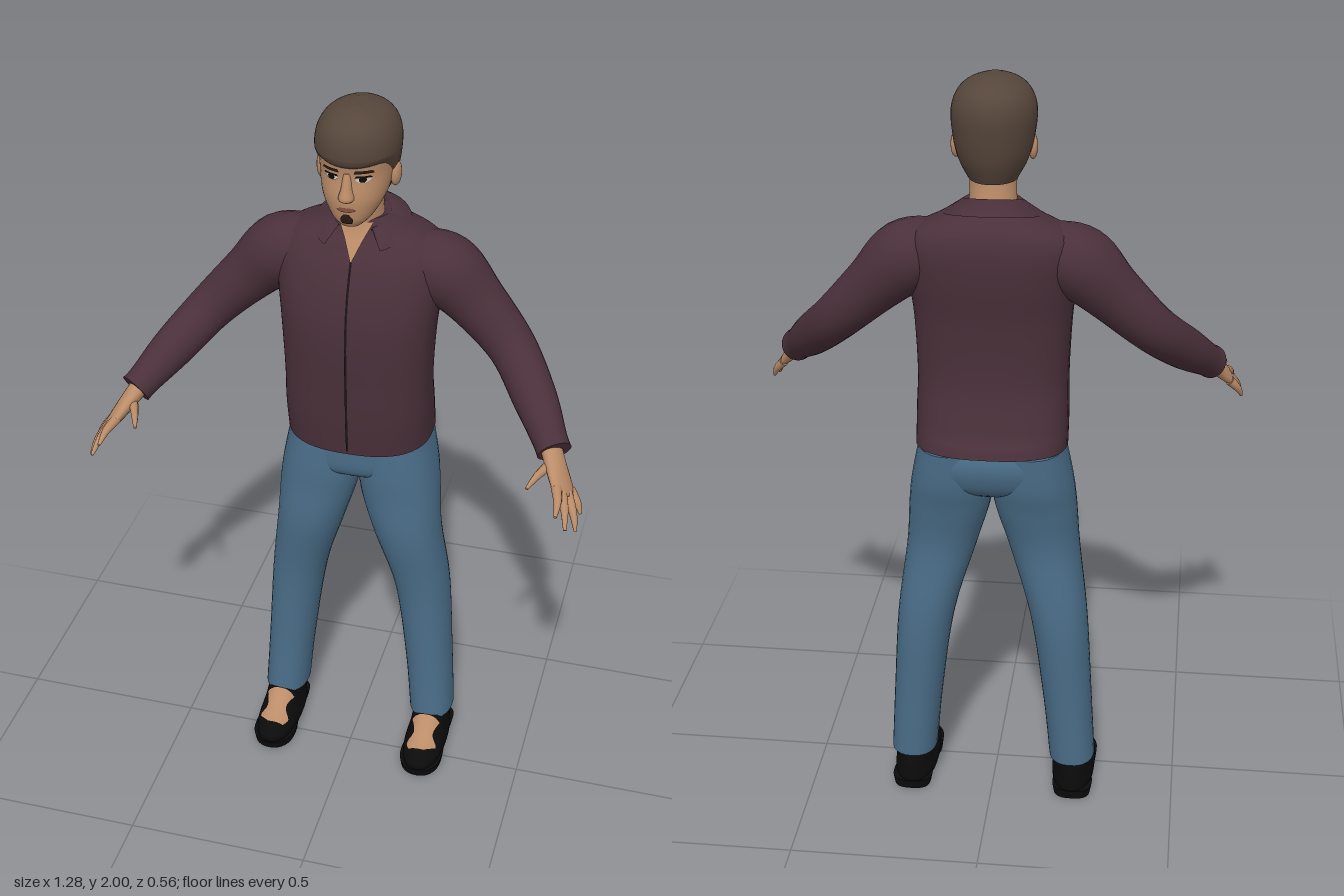
import * as THREE from 'three';

const V = (x, y, z) => new THREE.Vector3(x, y, z);
const paint = (name, color) => Object.assign(new THREE.MeshStandardMaterial({ color }), { name });

// Catmull-Rom interpolation of a table of numbers, column by column
function smooth(table, steps) {
  const out = [], last = table.length - 1;
  for (let i = 0; i < last; i++) {
    const [a, b, c, d] = [i - 1, i, i + 1, i + 2].map((k) => table[Math.min(last, Math.max(0, k))]);
    for (let s = 0; s < steps; s++) {
      const t = s / steps;
      out.push(b.map((_, k) => b[k] + 0.5 * t * (c[k] - a[k] + t * (2 * a[k] - 5 * b[k] + 4 * c[k] - d[k]
        + t * (3 * (b[k] - c[k]) + d[k] - a[k])))));
    }
  }
  out.push(table[last]);
  return out;
}

// Surface through rows of points; closed surfaces join around and get end caps
function skinRows(rows, closed) {
  if (closed) {
    const cap = (r) => {
      const c = r.reduce((s, p) => s.add(p), V(0, 0, 0)).divideScalar(r.length);
      return r.map(() => c);
    };
    const first = rows[0], end = rows[rows.length - 1];
    rows = [cap(first), first, ...rows, end, cap(end)];
  }
  const n = rows[0].length, index = [];
  for (let i = 0; i < rows.length - 1; i++) {
    for (let j = 0; j < (closed ? n : n - 1); j++) {
      const k = (j + 1) % n, a = i * n + j, b = i * n + k;
      index.push(a, b, b + n, a, b + n, a + n);
    }
  }
  const g = new THREE.BufferGeometry().setFromPoints(rows.flat());
  g.setIndex(index);
  g.computeVertexNormals();
  return g;
}

// Stacked level rings: [y, centre x, half width, front z, back z, squareness]
function loft(table, warp = (p) => p, seg = 32, steps = 5) {
  return skinRows(smooth(table, steps).map(([y, cx, rx, zf, zb, p]) =>
    Array.from({ length: seg }, (_, j) => {
      const a = (j / seg) * Math.PI * 2, s = Math.sin(a), c = Math.cos(a);
      const f = (v) => Math.sign(v) * Math.pow(Math.abs(v), 2 / p);
      return warp(V(cx + rx * f(s), y, (zf + zb) / 2 + ((zf - zb) / 2) * f(c)));
    })), true);
}

// Oval tube along a path: [x, y, z, radius along ref, radius across]
function sweep(table, ref, seg = 20, steps = 5) {
  const rows = smooth(table, steps), pts = rows.map((r) => V(r[0], r[1], r[2]));
  return skinRows(rows.map((r, i) => {
    const t = pts[Math.min(i + 1, pts.length - 1)].clone().sub(pts[Math.max(i - 1, 0)]).normalize();
    const v = t.clone().cross(ref).normalize(), u = v.clone().cross(t);
    return Array.from({ length: seg }, (_, j) => {
      const a = (j / seg) * Math.PI * 2;
      return pts[i].clone().addScaledVector(u, r[3] * Math.cos(a)).addScaledVector(v, r[4] * Math.sin(a));
    });
  }), true);
}

// Thin patch laid on a surface; rows are [height (or z if from above), x start, x end]
function decal(target, table, lift = 0.003, above = false) {
  const mesh = new THREE.Mesh(target, new THREE.MeshBasicMaterial({ side: THREE.DoubleSide }));
  const ray = new THREE.Raycaster();
  let depth = 0;
  return skinRows(smooth(table, 4).map(([v, x0, x1]) => Array.from({ length: 9 }, (_, j) => {
    const x = x0 + ((x1 - x0) * j) / 8;
    ray.set(above ? V(x, 3, v) : V(x, v, 3), above ? V(0, -1, 0) : V(0, 0, -1));
    const hit = ray.intersectObject(mesh)[0];
    if (hit) depth = above ? hit.point.y : hit.point.z;
    return above ? V(x, depth + lift, v) : V(x, v, depth + lift);
  })), false);
}

export function createModel() {
  const model = new THREE.Group();
  model.name = 'standingMan';
  const shirt = paint('shirt', 0x4a303a), seam = paint('seam', 0x1d1317), jeans = paint('jeans', 0x4a6d88);
  const skin = paint('skin', 0xbb8c68), hair = paint('hair', 0x56463b), black = paint('shoeBlack', 0x0b0b0b);
  const lip = paint('lips', 0x8a5546), white = paint('eyeWhite', 0xd0c8c0), dark = paint('faceHair', 0x2a1e18);
  shirt.side = THREE.DoubleSide;

  const add = (name, geometry, material) => {
    const m = new THREE.Mesh(geometry, material);
    m.name = name;
    model.add(m);
    return geometry;
  };
  const pair = (name, g, material) => {
    add(name + 'Left', g, material);
    const m = g.clone().scale(-1, 1, 1), ix = m.index.array;
    for (let i = 0; i < ix.length; i += 3) [ix[i], ix[i + 1]] = [ix[i + 1], ix[i]];
    add(name + 'Right', m, material);
  };

  // Shirt body, with the hem a little higher behind
  const torso = add('shirtBody', loft([
    [1.05, 0, 0.195, 0.03, -0.278, 2.5], [1.15, 0, 0.195, 0.04, -0.245, 2.6],
    [1.25, 0, 0.193, 0.045, -0.225, 2.6], [1.4, 0, 0.2, 0.05, -0.23, 2.6],
    [1.5, 0, 0.212, 0.037, -0.245, 2.5], [1.58, 0, 0.22, 0.008, -0.25, 2.4],
    [1.63, 0, 0.195, -0.02, -0.242, 2.3], [1.665, 0, 0.13, -0.04, -0.22, 2.2],
    [1.7, 0, 0.072, -0.05, -0.18, 2],
  ], (p) => { if (p.y < 1.1) p.y -= p.z * 0.07; return p; }, 48), shirt);
  add('placketSeam', decal(torso, [[1.06, -0.003, 0.003], [1.25, -0.003, 0.003], [1.42, -0.003, 0.003],
    [1.61, -0.003, 0.003]]), seam);
  add('openNeck', decal(torso, [[1.605, -0.002, 0.002], [1.65, -0.022, 0.022], [1.695, -0.045, 0.045]], 0.005), skin);

  // Folded collar, open at the front
  const collarRow = (fn) => Array.from({ length: 33 }, (_, i) => fn(0.6 + (i / 32) * (Math.PI * 2 - 1.2)));
  add('collar', skinRows([
    collarRow((a) => V(0.125 * Math.sin(a), 1.662 - 0.03 * Math.cos(a), -0.115 + 0.122 * Math.cos(a))),
    collarRow((a) => V(0.074 * Math.sin(a), 1.7 - 0.022 * Math.cos(a), -0.11 + 0.078 * Math.cos(a))),
    collarRow((a) => V(0.066 * Math.sin(a), 1.67 - 0.022 * Math.cos(a), -0.11 + 0.068 * Math.cos(a))),
  ], false), shirt);

  // Sleeves
  pair('sleeve', sweep([
    [0.13, 1.575, -0.12, 0.085, 0.075], [0.215, 1.548, -0.125, 0.095, 0.093], [0.3, 1.47, -0.12, 0.075, 0.075],
    [0.4, 1.37, -0.09, 0.062, 0.062], [0.48, 1.285, 0, 0.056, 0.056], [0.535, 1.225, 0.08, 0.046, 0.044],
    [0.552, 1.207, 0.105, 0.046, 0.044],
  ], V(0, 0, 1), 24, 6), shirt);

  // Hands with spread fingers
  const across = V(-0.31, 0.28, 0.91);
  pair('palm', sweep([
    [0.535, 1.222, 0.085, 0.03, 0.026], [0.56, 1.19, 0.13, 0.037, 0.022],
    [0.588, 1.152, 0.175, 0.043, 0.016], [0.6, 1.137, 0.193, 0.03, 0.009],
  ], across), skin);
  const fingers = {
    indexFinger: [[0.575, 1.165, 0.195], [0.587, 1.155, 0.24], [0.59, 1.14, 0.285]],
    middleFinger: [[0.587, 1.153, 0.185], [0.605, 1.13, 0.235], [0.615, 1.1, 0.278]],
    ringFinger: [[0.6, 1.14, 0.172], [0.624, 1.105, 0.21], [0.636, 1.07, 0.235]],
    littleFinger: [[0.604, 1.135, 0.152], [0.627, 1.108, 0.167], [0.638, 1.083, 0.178]],
    thumb: [[0.552, 1.19, 0.13], [0.527, 1.186, 0.185], [0.508, 1.175, 0.235]],
  };
  for (const [name, path] of Object.entries(fingers)) {
    pair(name, sweep(path.map((p, i) => [...p, [0.014, 0.011, 0.004][i], [0.013, 0.01, 0.004][i]]), across, 10, 3), skin);
  }

  // Jeans
  add('jeansSeat', loft([
    [0.925, 0, 0.1, -0.05, -0.19, 2.2], [0.96, 0, 0.19, -0.005, -0.235, 2.4],
    [1.03, 0, 0.195, 0.003, -0.255, 2.5], [1.1, 0, 0.18, 0.003, -0.23, 2.5],
  ]), jeans);
  pair('jeansLeg', loft([
    [0.11, 0.22, 0.062, -0.03, -0.19, 2.3], [0.3, 0.205, 0.066, -0.037, -0.198, 2.2],
    [0.55, 0.179, 0.076, -0.03, -0.21, 2.2], [0.75, 0.137, 0.093, 0, -0.197, 2.2],
    [0.88, 0.113, 0.107, 0.002, -0.218, 2.3], [0.96, 0.105, 0.105, 0.004, -0.24, 2.3],
    [1.06, 0.1, 0.09, 0, -0.25, 2.3],
  ]), jeans);

  // Shoes with sole, heel and bare instep
  const shoe = loft([
    [0.018, 0.222, 0.058, 0.1, -0.188, 2.4], [0.04, 0.222, 0.059, 0.102, -0.188, 2.4],
    [0.058, 0.222, 0.055, 0.08, -0.187, 2.3], [0.08, 0.222, 0.051, 0.03, -0.185, 2.2],
    [0.125, 0.222, 0.047, -0.035, -0.175, 2.2],
  ]);
  pair('shoe', shoe, black);
  pair('sole', loft([[0, 0.222, 0.058, 0.1, -0.06, 2.3], [0.025, 0.222, 0.061, 0.106, -0.06, 2.3]]), black);
  pair('heel', loft([[0, 0.224, 0.05, -0.095, -0.188, 2.8], [0.025, 0.224, 0.055, -0.085, -0.19, 2.8]]), black);
  pair('instep', decal(shoe, [[0.062, 0.19, 0.235], [0.038, 0.18, 0.266], [0.012, 0.195, 0.25],
    [-0.028, 0.18, 0.262]], 0.004, true), skin);

  // Neck, head, nose and ears
  add('neck', loft([[1.6, 0, 0.065, -0.06, -0.17, 2], [1.68, 0, 0.06, -0.047, -0.165, 2],
    [1.74, 0, 0.058, -0.037, -0.155, 2], [1.8, 0, 0.06, -0.04, -0.15, 2]]), skin);
  const head = add('head', loft([
    [1.715, 0, 0.028, 0.022, -0.04, 2.2], [1.735, 0, 0.05, 0.034, -0.08, 2.2], [1.77, 0, 0.072, 0.041, -0.13, 2.2],
    [1.8, 0, 0.083, 0.042, -0.155, 2.2], [1.85, 0, 0.091, 0.036, -0.18, 2.2], [1.9, 0, 0.092, 0.04, -0.185, 2.2],
    [1.95, 0, 0.075, 0.015, -0.165, 2.1], [1.975, 0, 0.04, -0.03, -0.12, 2],
  ], undefined, 40), skin);
  add('nose', loft([[1.79, 0, 0.013, 0.05, 0.02, 2], [1.8, 0, 0.02, 0.062, 0.015, 2],
    [1.825, 0, 0.014, 0.054, 0.015, 2], [1.862, 0, 0.01, 0.04, 0.01, 2]], undefined, 16), skin);
  pair('ear', new THREE.SphereGeometry(1, 14, 10).scale(0.012, 0.033, 0.021).rotateY(-0.25)
    .translate(0.094, 1.825, -0.075), skin);

  // Face details
  pair('eyeWhite', decal(head, [[1.842, 0.03, 0.047], [1.849, 0.021, 0.057], [1.856, 0.028, 0.05]]), white);
  pair('iris', decal(head, [[1.843, 0.034, 0.044], [1.849, 0.03, 0.048], [1.857, 0.033, 0.045]], 0.005), black);
  pair('upperLid', decal(head, [[1.854, 0.02, 0.06], [1.859, 0.024, 0.056]], 0.005), black);
  pair('eyebrow', decal(head, [[1.865, 0.018, 0.064], [1.873, 0.022, 0.06]], 0.004), dark);
  add('lips', decal(head, [[1.763, -0.012, 0.012], [1.769, -0.024, 0.024], [1.775, -0.014, 0.014]]), lip);
  add('goatee', decal(head, [[1.728, -0.012, 0.012], [1.742, -0.016, 0.016], [1.757, -0.006, 0.006]]), dark);

  // Hair cap: short over the brow, long at the nape
  add('hair', loft([
    [1.75, 0, 0.066, 0.033, -0.165, 2.1], [1.8, 0, 0.09, 0.045, -0.187, 2.1], [1.86, 0, 0.102, 0.05, -0.2, 2.1],
    [1.92, 0, 0.104, 0.051, -0.205, 2.1], [1.96, 0, 0.09, 0.038, -0.192, 2.1],
    [1.985, 0, 0.063, 0.008, -0.16, 2], [2, 0, 0.02, -0.04, -0.11, 2],
  ], (p) => {
    const k = 0.18 + 0.82 * THREE.MathUtils.smoothstep(-p.z, -0.01, 0.12);
    if (p.y < 1.9) p.y = 1.9 - (1.9 - p.y) * k;
    return p;
  }, 40), hair);

  return model;
}
